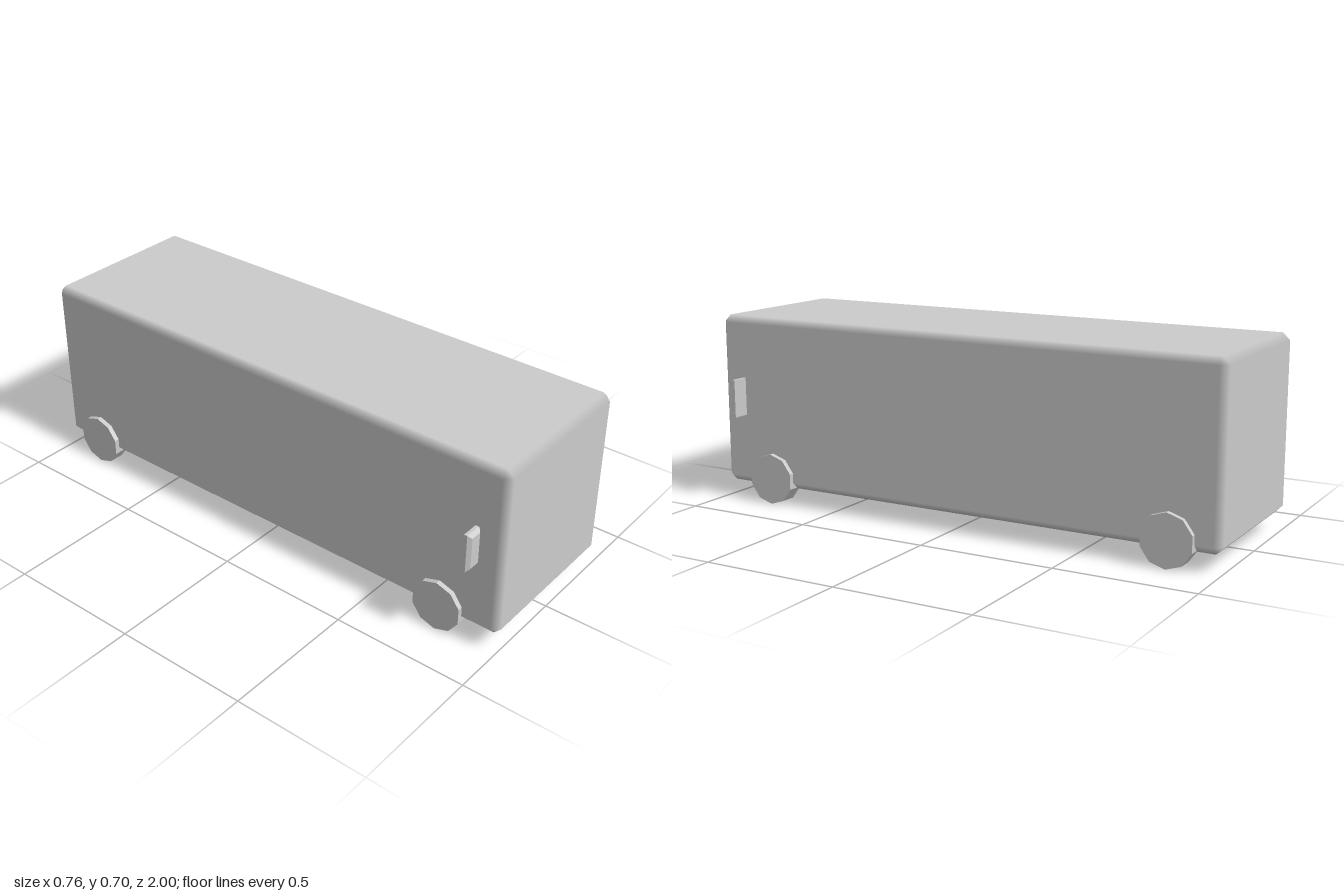
import * as THREE from 'three';
import { ConvexGeometry } from 'three/addons/geometries/ConvexGeometry.js';

const smooth = new THREE.MeshStandardMaterial({ color: 0xcccccc, side: THREE.DoubleSide });
const faceted = new THREE.MeshStandardMaterial({ color: 0xcccccc, side: THREE.DoubleSide, flatShading: true });

// Box shell with softly shaded chamfers and no floor panel
function bodyGeometry(half, bevel) {
  const points = [];
  for (let axis = 0; axis < 3; axis++)
    for (const sx of [-1, 1]) for (const sy of [-1, 1]) for (const sz of [-1, 1]) {
      const p = [sx, sy, sz].map((s, i) => s * (half[i] - (i === axis ? 0 : bevel)));
      points.push(new THREE.Vector3(...p));
    }
  const hull = new ConvexGeometry(points).getAttribute('position');
  const positions = [], normals = [];
  for (let i = 0; i < hull.count; i += 3) {
    const tri = [0, 1, 2].map(k => new THREE.Vector3().fromBufferAttribute(hull, i + k));
    if (tri.every(v => v.y < -half[1] + 1e-5)) continue; // open underside
    for (const v of tri) {
      const c = v.toArray();
      positions.push(...c);
      // each corner point takes the normal of the flat panel it borders
      normals.push(...c.map((a, k) => (Math.abs(a) > half[k] - 1e-4 ? Math.sign(a) : 0)));
    }
  }
  const g = new THREE.BufferGeometry();
  g.setAttribute('position', new THREE.Float32BufferAttribute(positions, 3));
  g.setAttribute('normal', new THREE.Float32BufferAttribute(normals, 3));
  return g;
}

// Ten-sided wheel with an outer cap and an open inner side
function wheelGeometry(radius, width) {
  const g = new THREE.CylinderGeometry(radius, radius, width, 10, 1, false, Math.PI / 2);
  const index = Array.from(g.index.array);
  g.setIndex(index.slice(0, index.length - 30)); // drop the inner cap
  g.clearGroups();
  return g;
}

// Flat-backed plate whose front face is bevelled inwards
function mirrorGeometry(w, h, d, bevel) {
  const g = new THREE.BoxGeometry(w, h, d, 1, 1, 2);
  const p = g.getAttribute('position');
  for (let i = 0; i < p.count; i++) {
    if (p.getZ(i) < d / 4) continue;
    p.setX(i, p.getX(i) - Math.sign(p.getX(i)) * bevel);
    p.setY(i, p.getY(i) - Math.sign(p.getY(i)) * bevel);
  }
  return g;
}

export function createModel() {
  const model = new THREE.Group();
  model.name = 'bus';
  const add = (name, geometry, material, x, y, z) => {
    const mesh = new THREE.Mesh(geometry, material);
    mesh.name = name;
    mesh.position.set(x, y, z);
    model.add(mesh);
    return mesh;
  };

  add('body', bodyGeometry([0.315, 0.318, 1], 0.026), smooth, 0, 0.38, 0);

  const wheel = wheelGeometry(0.095, 0.059);
  const mirror = mirrorGeometry(0.067, 0.141, 0.024, 0.012);
  for (const [side, s] of [['left', 1], ['right', -1]]) {
    for (const [end, z] of [['front', 0.773], ['rear', -0.82]])
      add(`${end} ${side} wheel`, wheel, faceted, s * 0.304, 0.095, z).rotation.z = -s * Math.PI / 2;
    add(`${side} mirror`, mirror, faceted, s * 0.3455, 0.397, 0.904);
  }
  return model;
}
